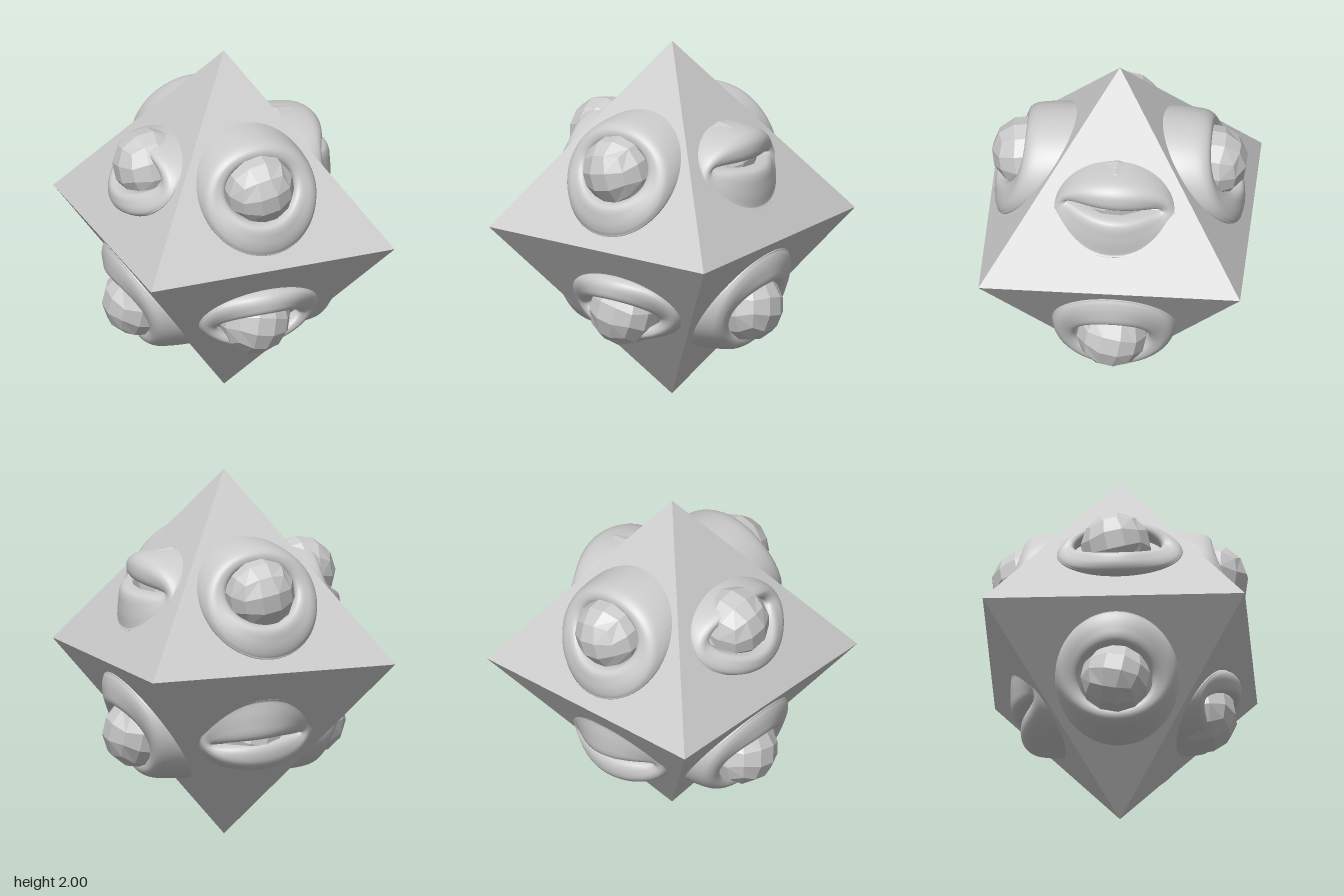
import * as THREE from 'three';

const R = Math.SQRT1_2; // half width of the octahedron's square waist

// Heights are relative to the waist; each eye looks along +z before it is placed.
// outline: ellipse where the lids meet the face; rim: opening between the lids
const EYES = {
  open: { outline: [0.006, 0.37, 0.335, 0.30], rim: [0, 0.405, 0.20, 0.155], tilt: 0,
    topZ: 0.49, lowZ: 0.665, corner: 0.04, ball: 0.50, point: 1 },
  half: { outline: [0.02, 0.37, 0.34, 0.20], rim: [0.01, 0.40, 0.235, 0.105], tilt: 0,
    topZ: 0.485, lowZ: 0.645, corner: 0.09, ball: 0.44, point: 1.25 },
  closed: { outline: [0.006, 0.375, 0.325, 0.213], rim: [0, 0.402, 0.25, 0.018], tilt: -0.07,
    topZ: 0.525, lowZ: 0.58, corner: 0.11, ball: 0.325, point: 1.3 },
};

// Lid cross-section from the face to the inside of the rim:
// x = share of the way to the rim, y = share of rim height, z = extra depth
const PROFILE = new THREE.CatmullRomCurve3([
  [0, -0.1, -0.02], [0, 0.05, 0], [0.05, 0.5, 0], [0.15, 0.8, 0.005], [0.35, 0.95, 0.01],
  [0.6, 1, 0.01], [0.85, 1, 0.005], [0.98, 1, -0.015], [1.02, 1, -0.05], [1.03, 1, -0.11],
].map((p) => new THREE.Vector3(...p))).getPoints(27);

// Ring of skin swept around the eye
function lidGeometry(e) {
  const cols = 64, pos = [], index = [];
  const [ox, oy, orx, ory] = e.outline, [rx, ry, rrx, rry] = e.rim;
  PROFILE.forEach((p, i) => {
    for (let j = 0; j < cols; j++) {
      const a = (j / cols) * Math.PI * 2, c = Math.cos(a), s = Math.sin(a);
      const outX = ox + orx * c, outY = oy + ory * s;
      const rimX = rx + rrx * c;
      const rimY = ry + rry * Math.sign(s) * Math.abs(s) ** e.point + e.tilt * rimX;
      const faceZ = R * (1 - outY);
      const rimZ = (e.topZ + e.lowZ) / 2 + ((e.topZ - e.lowZ) / 2) * s - e.corner * c * c;
      pos.push(outX + (rimX - outX) * p.x, outY + (rimY - outY) * p.x,
        faceZ + (rimZ - faceZ) * p.y + p.z);
      if (i < PROFILE.length - 1) {
        const k = i * cols + j, n = i * cols + ((j + 1) % cols);
        index.push(k, n, k + cols, n, n + cols, k + cols);
      }
    }
  });
  const g = new THREE.BufferGeometry();
  g.setAttribute('position', new THREE.Float32BufferAttribute(pos, 3));
  g.setIndex(index);
  return g;
}

// Faceted ball made from a cube pushed out to a sphere
function ballGeometry(e) {
  const g = new THREE.BoxGeometry(1, 1, 1, 3, 3, 3), p = g.attributes.position;
  const v = new THREE.Vector3();
  for (let i = 0; i < p.count; i++) {
    v.fromBufferAttribute(p, i);
    v.set(...v.toArray().map((t) => Math.tan(t * Math.PI / 2))).setLength(0.195);
    p.setXYZ(i, v.x, v.y, v.z);
  }
  return g.rotateZ(0.2).rotateX(0.15).translate(0, 0.405, e.ball);
}

// Turn a geometry to its face; the lower half is mirrored top to bottom
function place(g, turn, lower) {
  if (lower) {
    g.scale(1, -1, 1);
    const ix = g.index.array;
    for (let i = 0; i < ix.length; i += 3) [ix[i], ix[i + 1]] = [ix[i + 1], ix[i]];
  }
  g.rotateY(turn).translate(0, 1, 0);
  g.computeVertexNormals();
  return g;
}

export function createModel() {
  const model = new THREE.Group();
  model.name = 'eyedOctahedron';
  const flat = new THREE.MeshStandardMaterial({ color: 0xcccccc, flatShading: true });
  const skin = new THREE.MeshStandardMaterial({ color: 0xcccccc, side: THREE.DoubleSide });
  const add = (parent, name, g, m) => {
    const mesh = new THREE.Mesh(g, m);
    mesh.name = name;
    parent.add(mesh);
  };

  // Body
  add(model, 'octahedronBody',
    new THREE.OctahedronGeometry(1).rotateY(Math.PI / 4).translate(0, 1, 0), flat);

  // Four eyes above the waist, the same four below, a quarter turn on
  ['open', 'closed', 'open', 'half'].forEach((type, i) => {
    for (const lower of [false, true]) {
      const eye = new THREE.Group();
      eye.name = (lower ? 'lower' : 'upper') + 'Eye' + (i + 1);
      const turn = (i + (lower ? 1 : 0)) * Math.PI / 2;
      add(eye, 'eyelids', place(lidGeometry(EYES[type]), turn, lower), skin);
      add(eye, 'eyeball', place(ballGeometry(EYES[type]), turn, lower), flat);
      model.add(eye);
    }
  });
  return model;
}
